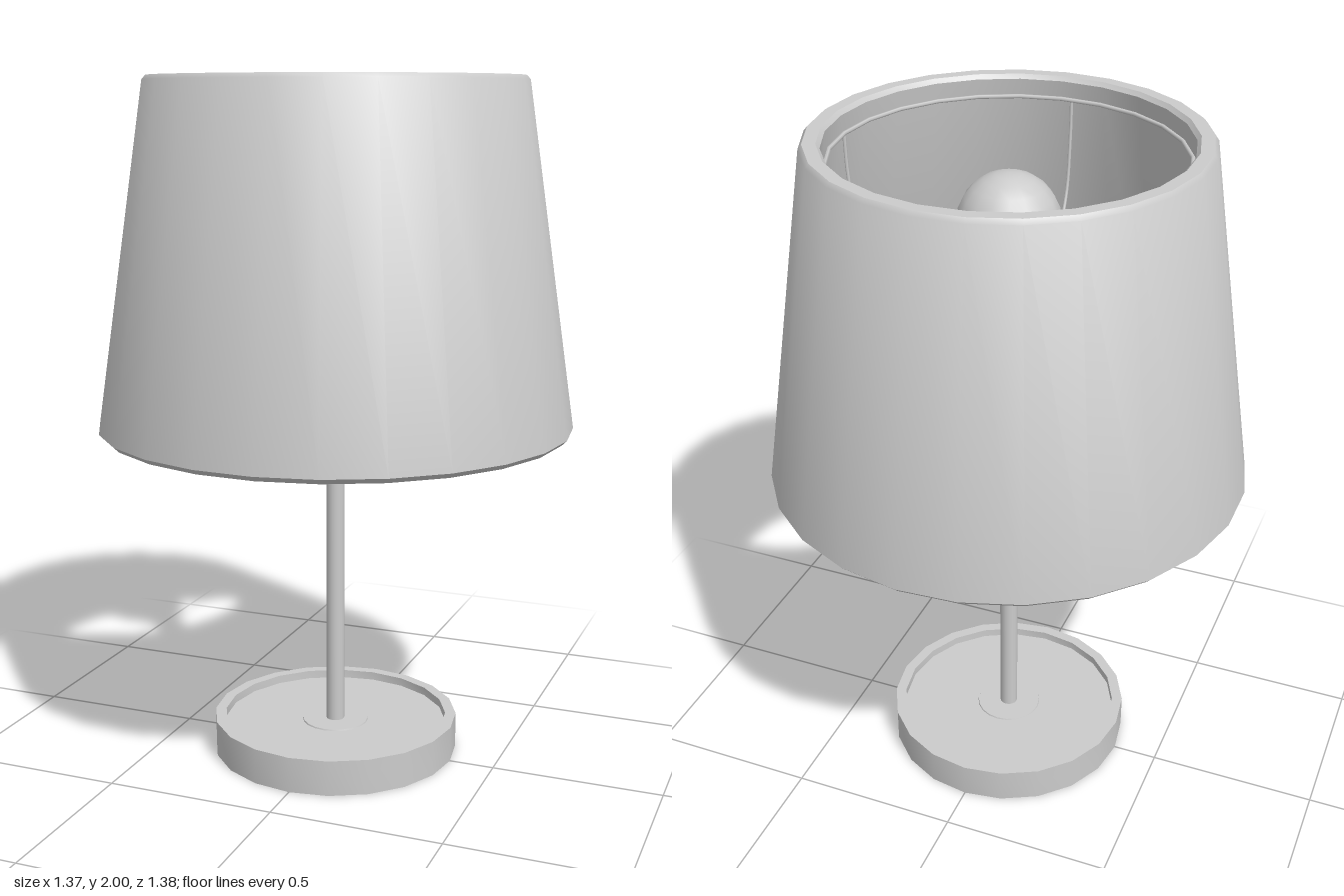
import * as THREE from 'three';
import { toCreasedNormals } from 'three/addons/utils/BufferGeometryUtils.js';

const material = new THREE.MeshStandardMaterial({ color: 0xcccccc });

function addMesh(parent, name, geometry) {
  const mesh = new THREE.Mesh(geometry, material);
  mesh.name = name;
  parent.add(mesh);
  return mesh;
}

// Turned part from [radius, height] pairs, with a corner on the +x axis
function turned(profile, sides) {
  const points = profile.map(([r, y]) => new THREE.Vector2(r, y));
  return toCreasedNormals(new THREE.LatheGeometry(points, sides, Math.PI / 2), 0.6);
}

export function createModel() {
  const lamp = new THREE.Group();
  lamp.name = 'tableLamp';

  // Round foot with a raised rim
  addMesh(lamp, 'base', turned([
    [0, 0], [0.367, 0], [0.367, 0.105], [0.335, 0.105], [0.335, 0.08], [0, 0.08],
  ], 20));

  // Low collar where the pole meets the foot
  addMesh(lamp, 'collar', turned([[0.1, 0.078], [0.098, 0.084], [0, 0.084]], 20));

  // Pole
  const pole = addMesh(lamp, 'pole', new THREE.CylinderGeometry(0.027, 0.027, 1.42, 16));
  pole.position.y = 0.79;

  // Socket under the bulb
  addMesh(lamp, 'socket', turned([
    [0, 1.43], [0.05, 1.43], [0.055, 1.44], [0.055, 1.56], [0, 1.56],
  ], 16));

  // Bulb: narrow neck flowing into a sphere
  const bulb = [[0.045, 1.55], [0.05, 1.6]];
  for (let i = 0; i <= 10; i++) {
    const a = THREE.MathUtils.lerp(-0.95, Math.PI / 2, i / 10);
    bulb.push([Math.max(0, 0.143 * Math.cos(a)), 1.757 + 0.143 * Math.sin(a)]);
  }
  addMesh(lamp, 'bulb', turned(bulb, 16));

  // Tapered thick shade with small bevels, open at both ends
  addMesh(lamp, 'shade', turned([
    [0.635, 1.01], [0.645, 0.993], [0.675, 0.993], [0.69, 1.008],
    [0.543, 1.988], [0.533, 2], [0.497, 2], [0.487, 1.988], [0.635, 1.01],
  ], 25));

  // Wire ring inside the top of the shade
  const ring = addMesh(lamp, 'shadeRing', new THREE.TorusGeometry(0.479, 0.006, 6, 25));
  ring.rotation.x = Math.PI / 2;
  ring.position.y = 1.94;

  // Four bent wires from the ring to the socket
  const path = new THREE.CatmullRomCurve3([
    [0.48, 1.94], [0.475, 1.82], [0.45, 1.66], [0.36, 1.53], [0.2, 1.48], [0.04, 1.47],
  ].map(([r, y]) => new THREE.Vector3(r, y, 0)));
  const wire = new THREE.TubeGeometry(path, 24, 0.005, 6);
  for (let i = 0; i < 4; i++) {
    addMesh(lamp, 'shadeWire', wire).rotation.y = i * Math.PI / 2;
  }

  return lamp;
}
